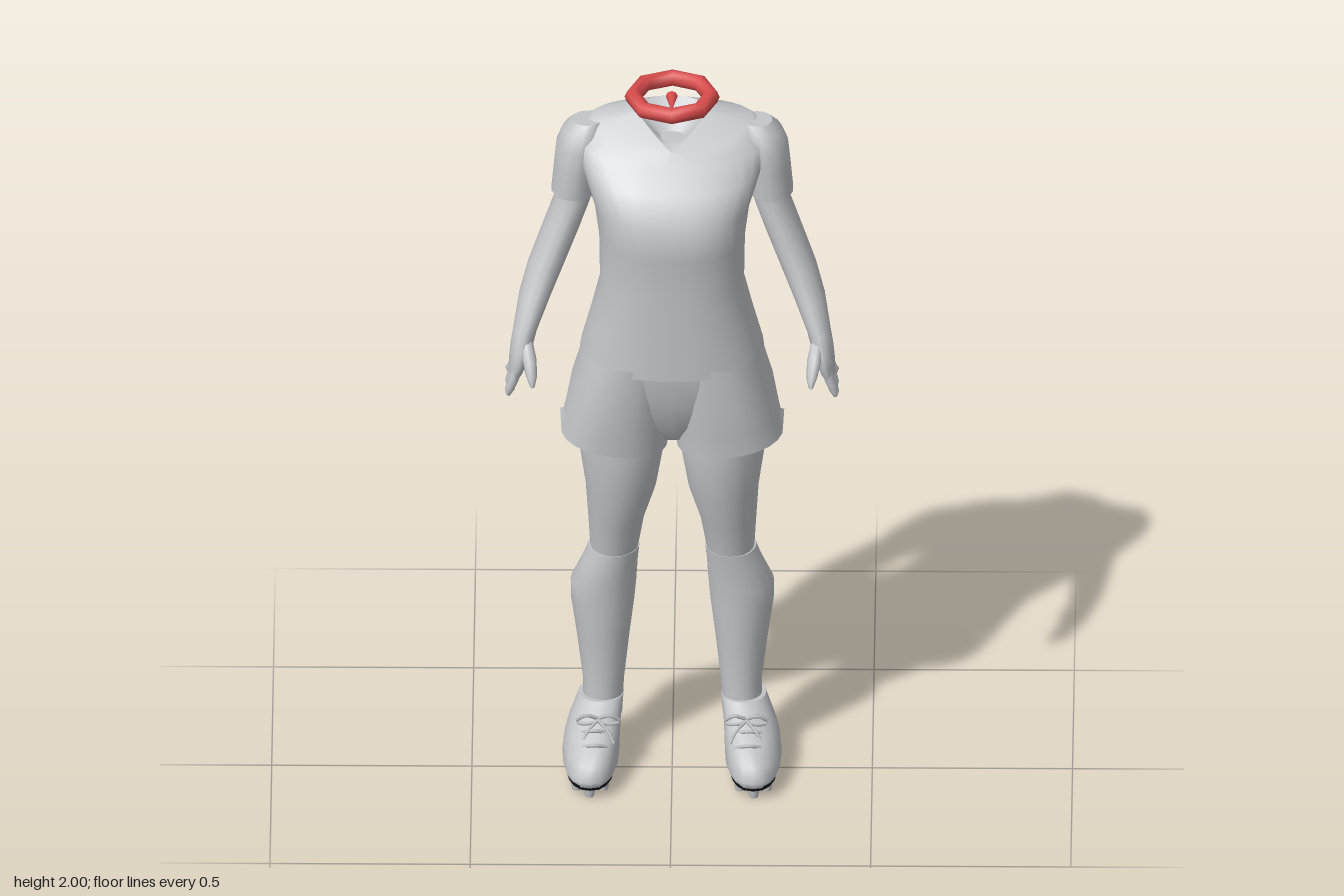
import * as THREE from 'three';

const grey = new THREE.MeshStandardMaterial({ color: 0xc4c6ca, side: THREE.DoubleSide });
grey.name = 'pale grey';
const red = new THREE.MeshStandardMaterial({ color: 0xd94c4c });
red.name = 'marker red';
const dark = new THREE.MeshStandardMaterial({ color: 0x1a1a1c });
dark.name = 'sole black';

// Skins horizontal rings, each [y, x, halfWidth, zBack, zFront, {nf, nb, tilt, zc}].
// nf / nb set how square the front / back half is; tilt slopes the ring along z.
function loft(name, mat, rings, { side = 1, seg = 20, bottom = false, top = false, rule = null } = {}) {
  const rows = [...rings].sort((a, b) => a[0] - b[0]);
  const pos = [], idx = [];
  for (const [y, x, rx, zb, zf, o = {}] of rows) {
    const { nf = 2, nb = 2, tilt = 0, zc = (zb + zf) / 2 } = o;
    for (let i = 0; i < seg; i++) {
      const a = (i / seg) * Math.PI * 2, s = Math.sin(a), c = Math.cos(a);
      const e = 2 / (c >= 0 ? nf : nb);
      const dz = Math.sign(c) * Math.abs(c) ** e * (c >= 0 ? zf - zc : zc - zb);
      const p = new THREE.Vector3(x + Math.sign(s) * Math.abs(s) ** e * rx,
        y + tilt * dz * (dz < 0 ? 0.3 : 1), zc + dz);
      if (rule) rule(p, y);
      pos.push(p.x * side, p.y, p.z);
    }
  }
  const quad = (a, b, c, d) => (side > 0 ? idx.push(a, b, c, b, d, c) : idx.push(a, c, b, b, c, d));
  for (let r = 0; r < rows.length - 1; r++)
    for (let i = 0; i < seg; i++) {
      const j = (i + 1) % seg;
      quad(r * seg + i, r * seg + j, (r + 1) * seg + i, (r + 1) * seg + j);
    }
  const cap = (r, up) => {
    const base = pos.length / 3, [y, x, , zb, zf] = rows[r];
    for (let i = 0; i < seg * 3; i++) pos.push(pos[r * seg * 3 + i]);
    pos.push(x * side, y, (zb + zf) / 2);
    for (let i = 0; i < seg; i++) {
      const a = base + i, b = base + (i + 1) % seg, m = base + seg;
      if (up === side > 0) idx.push(m, a, b); else idx.push(m, b, a);
    }
  };
  if (bottom) cap(0, false);
  if (top) cap(rows.length - 1, true);
  const g = new THREE.BufferGeometry();
  g.setAttribute('position', new THREE.Float32BufferAttribute(pos, 3));
  g.setIndex(idx);
  g.computeVertexNormals();
  return mesh(name, g, mat);
}

function mesh(name, geometry, mat) {
  const m = new THREE.Mesh(geometry, mat);
  m.name = name;
  return m;
}

function tube(name, pts, radius, side) {
  const curve = new THREE.CatmullRomCurve3(pts.map(([x, y, z]) => new THREE.Vector3(x * side, y, z)));
  return mesh(name, new THREE.TubeGeometry(curve, 10, radius, 5), grey);
}

function createArm(side) {
  const arm = new THREE.Group();
  arm.name = side > 0 ? 'leftArm' : 'rightArm';
  arm.add(loft('sleeve', grey, [
    [1.625, 0.246, 0.057, -0.14, 0.01], [1.70, 0.24, 0.056, -0.145, 0.015],
    [1.76, 0.232, 0.058, -0.14, 0.015], [1.80, 0.222, 0.052, -0.125, 0.0],
    [1.825, 0.212, 0.038, -0.10, -0.02]], { side, seg: 14, top: true }));
  arm.add(loft('bareArm', grey, [
    [1.66, 0.243, 0.046, -0.13, 0], [1.60, 0.25, 0.046, -0.128, 0.0],
    [1.52, 0.28, 0.046, -0.115, 0.015], [1.43, 0.315, 0.045, -0.095, 0.03],
    [1.36, 0.342, 0.04, -0.06, 0.06], [1.28, 0.367, 0.03, -0.003, 0.088],
    [1.235, 0.376, 0.028, -0.012, 0.105], [1.20, 0.382, 0.025, -0.02, 0.108],
    [1.165, 0.39, 0.019, -0.022, 0.098]], { side, seg: 14, bottom: true }));
  // four fingers from front to back
  [[0.083, 1.112], [0.051, 1.098], [0.019, 1.106], [-0.011, 1.128]].forEach(([z, end]) =>
    arm.add(loft('finger', grey, [
      [1.19, 0.385, 0.014, z - 0.016, z + 0.016], [1.15, 0.397, 0.013, z - 0.014, z + 0.014],
      [end + 0.012, 0.406, 0.011, z - 0.012, z + 0.012],
      [end, 0.408, 0.005, z - 0.006, z + 0.006]], { side, seg: 8, bottom: true })));
  arm.add(loft('thumb', grey, [
    [1.265, 0.365, 0.016, 0.045, 0.09], [1.225, 0.356, 0.018, 0.08, 0.122],
    [1.19, 0.35, 0.014, 0.11, 0.142], [1.165, 0.348, 0.006, 0.128, 0.145]],
  { side, seg: 8, bottom: true }));
  return arm;
}

function createLeg(side) {
  const leg = new THREE.Group();
  leg.name = side > 0 ? 'leftLeg' : 'rightLeg';
  // shorts leg: hem rises outward and is notched at the outer seam
  leg.add(loft('shortsLeg', grey, [
    [1.215, 0.108, 0.113, -0.172, 0.148, { nf: 2.3, nb: 2.3 }],
    [1.10, 0.126, 0.128, -0.18, 0.142, { nf: 2.3, nb: 2.3 }],
    [1.02, 0.137, 0.132, -0.168, 0.13, { nf: 2.3, nb: 2.3 }],
    [0.955, 0.145, 0.135, -0.155, 0.122, { nf: 2.3, nb: 2.3 }]], {
    side, seg: 24,
    rule: (p, y) => {
      if (y > 0.96) return;
      p.y += (p.x - 0.145) * 0.14;
      if (p.x > 0.27 && Math.abs(p.z + 0.017) < 0.015) p.y += 0.045;
    } }));
  leg.add(loft('thigh', grey, [
    [1.03, 0.128, 0.105, -0.13, 0.095], [0.94, 0.126, 0.109, -0.13, 0.098],
    [0.80, 0.128, 0.088, -0.128, 0.072], [0.70, 0.14, 0.07, -0.124, 0.036],
    [0.59, 0.146, 0.058, -0.122, 0.008]], { side }));
  leg.add(loft('sock', grey, [
    [0.61, 0.146, 0.064, -0.128, 0.015], [0.57, 0.155, 0.069, -0.135, 0.01],
    [0.50, 0.172, 0.082, -0.155, 0.002], [0.44, 0.174, 0.079, -0.166, -0.002],
    [0.34, 0.173, 0.066, -0.158, -0.012], [0.21, 0.172, 0.051, -0.14, -0.025],
    [0.12, 0.175, 0.05, -0.14, -0.02]], { side, top: true }));

  // boot with a dark sole plate, studs and laces
  leg.add(loft('boot', grey, [
    [0.034, 0.204, 0.064, -0.152, 0.172, { nf: 2.4 }], [0.055, 0.203, 0.071, -0.164, 0.186, { nf: 2.3 }],
    [0.085, 0.201, 0.07, -0.164, 0.165], [0.118, 0.195, 0.066, -0.156, 0.11],
    [0.145, 0.187, 0.06, -0.156, 0.045], [0.172, 0.178, 0.057, -0.152, -0.01, { tilt: 0.1 }]],
  { side, bottom: true, top: true }));
  leg.add(loft('sole', dark, [
    [0.024, 0.204, 0.062, -0.148, 0.166, { nf: 2.4 }],
    [0.04, 0.204, 0.067, -0.156, 0.175, { nf: 2.4 }]], { side, bottom: true }));
  const studs = [[0.205, 0.148], [0.17, 0.112], [0.238, 0.112], [0.204, 0.085], [0.165, 0.055],
    [0.243, 0.055], [0.204, 0.025], [0.178, -0.075], [0.23, -0.075], [0.182, -0.125], [0.226, -0.125]];
  for (const [x, z] of studs) {
    const stud = mesh('stud', new THREE.CylinderGeometry(0.016, 0.011, 0.03, 8), grey);
    stud.position.set(x * side, 0.015, z);
    leg.add(stud);
  }
  for (const [y, z] of [[0.118, 0.112], [0.136, 0.07]])
    leg.add(tube('lace', [[0.155, y - 0.012, z - 0.02], [0.193, y + 0.006, z], [0.232, y - 0.012, z - 0.02]], 0.005, side));
  for (const d of [-1, 1]) {
    leg.add(tube('laceLoop', [[0.185, 0.158, 0.035], [0.185 + d * 0.03, 0.172, 0.045],
      [0.185 + d * 0.055, 0.15, 0.035], [0.185 + d * 0.03, 0.148, 0.045], [0.185, 0.154, 0.04]], 0.005, side));
    leg.add(tube('laceTail', [[0.185, 0.156, 0.04], [0.185 + d * 0.025, 0.14, 0.068],
      [0.185 + d * 0.04, 0.115, 0.085]], 0.004, side));
  }
  return leg;
}

export function createModel() {
  const model = new THREE.Group();
  model.name = 'headlessPlayer';

  // shirt rising to a V neckline
  const neckline = [1.85, 0, 0.088, -0.115, 0.05, { nf: 1.1, tilt: -0.6, zc: -0.055 }];
  model.add(loft('shirt', grey, [
    [1.205, 0, 0.23, -0.18, 0.155, { nf: 2.4, nb: 2.4, tilt: -0.08 }],
    [1.31, 0, 0.205, -0.15, 0.16, { nf: 2.3, nb: 2.3 }],
    [1.42, 0, 0.18, -0.118, 0.162, { nf: 2.3, nb: 2.3 }],
    [1.54, 0, 0.182, -0.132, 0.17, { nf: 2.4, nb: 2.4 }],
    [1.64, 0, 0.195, -0.158, 0.185, { nf: 2.4, nb: 2.5 }],
    [1.735, 0, 0.23, -0.175, 0.122, { nf: 2.4, nb: 2.6, tilt: -0.2, zc: -0.05 }],
    [1.80, 0, 0.243, -0.158, 0.075, { nf: 2.2, nb: 2.5, tilt: -0.35, zc: -0.06 }],
    [1.832, 0, 0.2, -0.138, 0.055, { nf: 1.8, nb: 2.3, tilt: -0.45, zc: -0.06 }],
    neckline], { seg: 32 }));
  // hollow inside the collar
  model.add(loft('neckOpening', grey, [
    [1.80, 0, 0.03, -0.04, 0.02, { zc: -0.02 }], neckline], { seg: 32, bottom: true }));

  model.add(loft('shortsSeat', grey, [
    [1.23, 0, 0.212, -0.165, 0.145, { nf: 2.5, nb: 2.5 }],
    [1.18, 0, 0.215, -0.172, 0.143, { nf: 2.5, nb: 2.5 }],
    [1.10, 0, 0.2, -0.16, 0.125, { nf: 2.5, nb: 2.5 }],
    [1.02, 0, 0.13, -0.125, 0.095], [0.965, 0, 0.06, -0.07, 0.05]], { seg: 28, bottom: true }));

  for (const side of [1, -1]) model.add(createArm(side), createLeg(side));

  // floating ring and pointer
  const ring = mesh('neckRing', new THREE.TorusGeometry(0.098, 0.021, 8, 8), red);
  ring.rotation.x = Math.PI / 2;
  ring.position.y = 1.921;
  const pointer = mesh('frontPointer', new THREE.ConeGeometry(0.015, 0.075, 8), red);
  pointer.rotation.x = Math.PI / 2;
  pointer.position.set(0, 1.985, 0.148);
  model.add(ring, pointer);
  return model;
}
